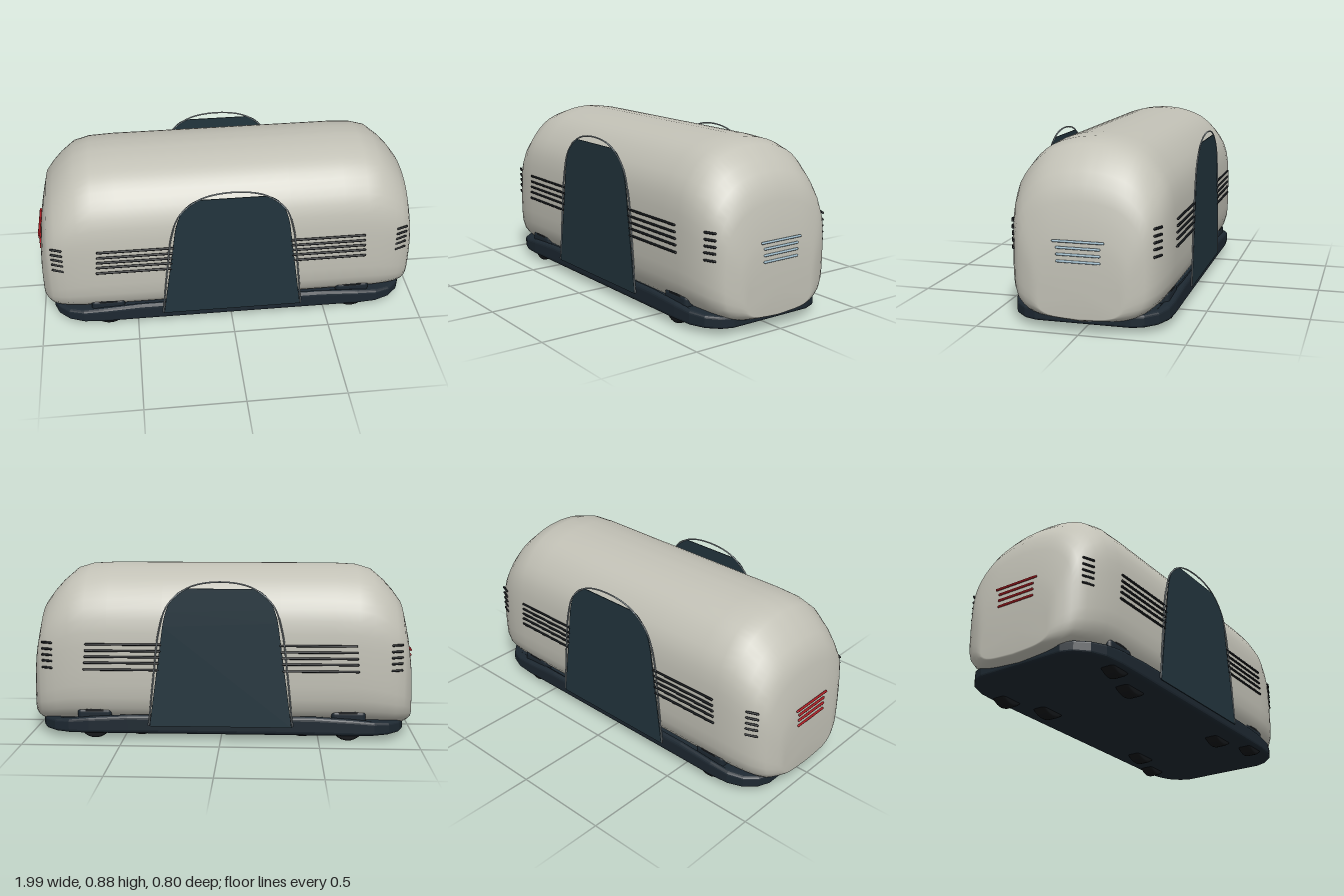
import * as THREE from 'three';
import { RoundedBoxGeometry } from 'three/addons/geometries/RoundedBoxGeometry.js';

const mat = (color, side = THREE.FrontSide) => new THREE.MeshStandardMaterial({ color, side });
const shellMat = mat(0xc2c1b6), baseMat = mat(0x1d2831), doorMat = mat(0x22343d, THREE.DoubleSide);
const trimMat = mat(0x8d979c), blackMat = mat(0x121518), blueMat = mat(0x9fbccb), redMat = mat(0xa81c22);

const add = (parent, name, geometry, material, x = 0, y = 0, z = 0) => {
  const mesh = new THREE.Mesh(geometry, material);
  mesh.name = name;
  mesh.position.set(x, y, z);
  parent.add(mesh);
  return mesh;
};

// Rod with rounded ends between two points
function rod(parent, name, a, b, r, material) {
  const from = new THREE.Vector3(...a), dir = new THREE.Vector3(...b).sub(from);
  const mesh = add(parent, name, new THREE.CapsuleGeometry(r, dir.length(), 4, 10), material);
  mesh.position.copy(from).addScaledVector(dir, 0.5);
  mesh.quaternion.setFromUnitVectors(new THREE.Vector3(0, 1, 0), dir.normalize());
}

// Shell: one normalised half profile (width, height) scaled along x
function shellGeometry() {
  const half = new THREE.SplineCurve([
    [0, 0], [0.52, 0.022], [0.78, 0.06], [0.93, 0.13], [0.985, 0.2], [1, 0.31], [1, 0.49],
    [0.985, 0.63], [0.94, 0.73], [0.85, 0.81], [0.7, 0.893], [0.52, 0.95], [0.26, 0.988], [0, 1],
  ].map(p => new THREE.Vector2(...p))).getSpacedPoints(32);
  const profile = [...half, ...half.slice(1, -1).reverse().map(p => new THREE.Vector2(-p.x, p.y))];
  // x, half width, bottom, top
  const side = [
    [0.3, 0.387, 0.04, 0.88], [0.58, 0.387, 0.04, 0.88], [0.7, 0.385, 0.04, 0.874], [0.78, 0.38, 0.04, 0.85],
    [0.85, 0.364, 0.04, 0.79], [0.895, 0.347, 0.04, 0.74], [0.935, 0.325, 0.045, 0.685],
    [0.953, 0.3, 0.052, 0.61], [0.968, 0.272, 0.058, 0.54], [0.98, 0.24, 0.064, 0.46],
    [0.986, 0.22, 0.068, 0.4], [0.99, 0.195, 0.074, 0.3],
  ];
  const rings = [...side.map(([x, ...s]) => [-x, ...s]).reverse(), ...side];
  const n = profile.length, pos = [], index = [];
  for (const [x, w, lo, hi] of rings) for (const p of profile) pos.push(x, lo + (hi - lo) * p.y, w * p.x);
  for (let i = 0; i < rings.length - 1; i++) for (let j = 0; j < n; j++) {
    const a = i * n + j, b = i * n + (j + 1) % n;
    index.push(a, a + n, b + n, a, b + n, b);
  }
  const last = (rings.length - 1) * n, c = rings.length * n;
  pos.push(-0.991, 0.19, 0, 0.991, 0.19, 0);
  for (let j = 0; j < n; j++) {
    const k = (j + 1) % n;
    index.push(c, j, k, c + 1, last + k, last + j);
  }
  const g = new THREE.BufferGeometry();
  g.setAttribute('position', new THREE.Float32BufferAttribute(pos, 3));
  g.setIndex(index);
  g.computeVertexNormals();
  return g;
}

// Chassis: bevelled plan with clipped corners, lower towards the ends
function chassisGeometry() {
  const b = 0.022;
  const quarter = [[0.94, 0.25], [0.92, 0.3], [0.87, 0.35], [0.8, 0.378], [0.7, 0.387], [0.5, 0.387]]
    .map(([x, z]) => [x - b, z - b]);
  const back = quarter.slice().reverse();
  const pts = [...quarter, ...back.map(([x, z]) => [-x, z]),
    ...quarter.map(([x, z]) => [-x, -z]), ...back.map(([x, z]) => [x, -z])];
  const g = new THREE.ExtrudeGeometry(new THREE.Shape(pts.map(p => new THREE.Vector2(...p))),
    { depth: 0.098 - 2 * b, bevelThickness: b, bevelSize: b, bevelSegments: 4 });
  g.rotateX(-Math.PI / 2).translate(0, 0.03 + b, 0);
  const p = g.attributes.position;
  for (let i = 0; i < p.count; i++) {
    const t = THREE.MathUtils.smoothstep(Math.abs(p.getX(i)), 0.5, 0.94);
    p.setY(i, 0.03 + (p.getY(i) - 0.03) * (1 - 0.35 * t));
  }
  g.computeVertexNormals();
  return g;
}

// Door panel outline, flat at the top
function doorGeometry() {
  const s = new THREE.Shape();
  s.moveTo(-0.362, 0.075);
  s.lineTo(0.362, 0.075);
  s.lineTo(0.292, 0.59);
  s.bezierCurveTo(0.275, 0.7, 0.235, 0.765, 0.17, 0.783);
  s.lineTo(-0.17, 0.783);
  s.bezierCurveTo(-0.235, 0.765, -0.275, 0.7, -0.292, 0.59);
  s.closePath();
  return new THREE.ExtrudeGeometry(s, { depth: 0.004, bevelEnabled: false, curveSegments: 16 });
}

export function createModel() {
  const model = new THREE.Group();
  model.name = 'shuttle';
  add(model, 'shell', shellGeometry(), shellMat);
  add(model, 'chassis', chassisGeometry(), baseMat);

  const arch = new THREE.CatmullRomCurve3([
    [-0.366, 0.08], [-0.335, 0.38], [-0.31, 0.57], [-0.265, 0.7], [-0.16, 0.788], [0, 0.817],
    [0.16, 0.788], [0.265, 0.7], [0.31, 0.57], [0.335, 0.38], [0.366, 0.08],
  ].map(([x, y]) => new THREE.Vector3(x, y, 0)));
  const archGeo = new THREE.TubeGeometry(arch, 64, 0.004, 8);
  const doorGeo = doorGeometry();
  const rows = [0.367, 0.402, 0.433, 0.464, 0.497];

  for (const sz of [1, -1]) {
    // Doors and their thin frames
    add(model, 'door', doorGeo, doorMat, 0, 0, sz * 0.394 - 0.002);
    add(model, 'doorFrame', archGeo, trimMat, 0, 0, sz * 0.394);
    for (const sx of [1, -1]) {
      // Side grilles and short corner grilles
      rows.forEach((y, i) => {
        const x0 = 0.318 - i * 0.004;
        rod(model, 'sideGrille', [sx * x0, y, sz * 0.392], [sx * (0.695 - i * 0.003), y, sz * 0.391], 0.006, blackMat);
        rod(model, 'cornerGrille', [sx * 0.868, y, sz * 0.357], [sx * 0.918, y, sz * 0.337], 0.006, blackMat);
      });
      // Staggered wheels and the arch over each outer wheel
      for (const [name, x, z, r] of [['outerWheel', 0.65, 0.325, 0.085], ['innerWheel', 0.42, 0.252, 0.115]]) {
        const profile = [[0, -0.037], [r - 0.012, -0.037], [r - 0.003, -0.033], [r, -0.024],
          [r, 0.024], [r - 0.003, 0.033], [r - 0.012, 0.037], [0, 0.037]].map(p => new THREE.Vector2(...p));
        add(model, name, new THREE.LatheGeometry(profile, 32), blackMat, sx * x, r, sz * z).rotation.x = Math.PI / 2;
      }
      add(model, 'wheelArch', new RoundedBoxGeometry(0.175, 0.07, 0.08, 4, 0.02), baseMat, sx * 0.652, 0.12, sz * 0.323);
    }
  }

  // End light bars: pale at one end, red at the other
  for (const [sx, material, name] of [[1, blueMat, 'headlight'], [-1, redMat, 'tailLight']]) {
    [0.34, 0.372, 0.403, 0.433].forEach((y, i) => {
      const h = i === 3 ? 0.118 : 0.1;
      rod(model, name, [sx * 0.991, y, -h], [sx * 0.991, y, h], 0.006, material);
    });
  }
  return model;
}
